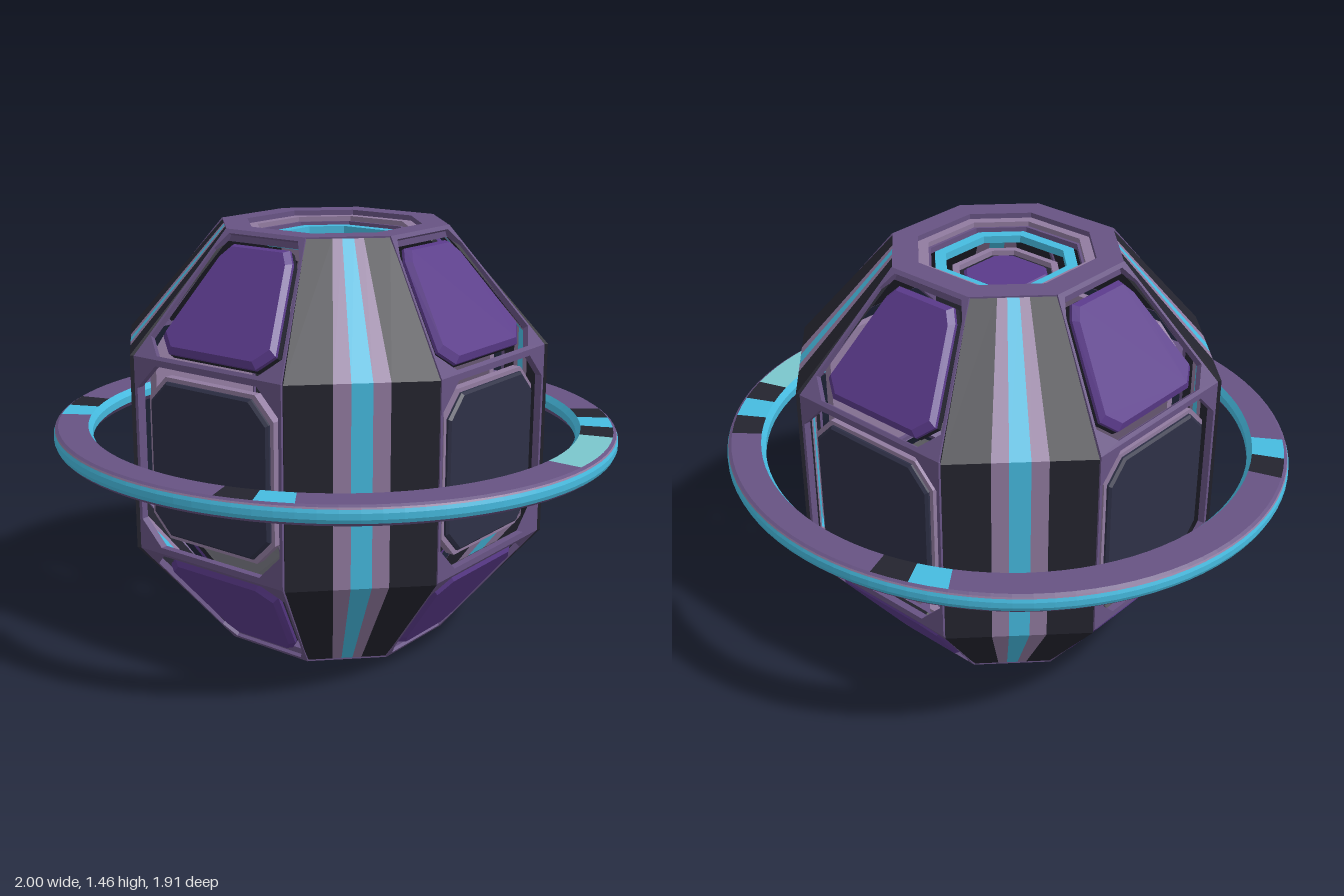
import * as THREE from 'three';

const mat = (name, color) => Object.assign(new THREE.MeshStandardMaterial({ color }), { name });

export function createModel() {
  const M = {
    purple: mat('frame purple', 0x675383),
    mauve: mat('mauve trim', 0x917ba0),
    dark: mat('charcoal', 0x24242f),
    navy: mat('navy panel', 0x2e3046),
    violet: mat('violet panel', 0x5a3a8a),
    cyan: mat('cyan', 0x46bbe0),
    pale: mat('pale teal', 0x7ac6cc),
  };
  const model = new THREE.Group();
  model.name = 'ringedCapsule';
  const body = new THREE.Group();
  body.name = 'body';
  body.position.y = 0.7275;
  model.add(body);

  const add = (parent, name, geo, material) => {
    const mesh = new THREE.Mesh(geo, material);
    mesh.name = name;
    parent.add(mesh);
    return mesh;
  };
  const fromPoints = (pts) => {
    const g = new THREE.BufferGeometry();
    g.setAttribute('position', new THREE.Float32BufferAttribute(pts.flat(), 3));
    g.computeVertexNormals();
    return g;
  };
  const quad = (out, a, b, c, d) => out.push(a, b, c, a, c, d);

  // Closed solid through loops of equal length, counter-clockwise about the loft direction
  const loft = (loops) => {
    const out = [], n = loops[0].length, last = loops[loops.length - 1];
    for (let s = 0; s < loops.length - 1; s++) {
      for (let i = 0; i < n; i++) {
        const j = (i + 1) % n;
        quad(out, loops[s][i], loops[s][j], loops[s + 1][j], loops[s + 1][i]);
      }
    }
    for (let i = 1; i < n - 1; i++) {
      out.push(loops[0][0], loops[0][i + 1], loops[0][i]);
      out.push(last[0], last[i], last[i + 1]);
    }
    return fromPoints(out);
  };

  // Right half of an outline, bottom to top, mirrored into a full loop
  const mirror = (half) => [...half, ...half.slice().reverse().map(([x, y]) => [-x, y])];
  const chamferRect = (w, h, c) => mirror([[w - c, -h], [w, c - h], [w, h - c], [w - c, h]]);
  const oct = (r, k) => chamferRect(r, r, r * (1 - k));
  const inset = (loop, d) => {
    const ys = loop.map((p) => p[1]);
    const cy = (Math.min(...ys) + Math.max(...ys)) / 2, hy = Math.max(...ys) - cy;
    const hx = Math.max(...loop.map((p) => p[0]));
    return loop.map(([x, y]) => [x * (1 - d / hx), cy + (y - cy) * (1 - d / hy)]);
  };
  const atZ = (loop, z) => loop.map(([x, y]) => [x, y, z]);
  // Plate whose front lies at z = front, with an optional opening
  const plate = (outer, hole, depth, front = 0) => {
    const v = (l) => l.map(([x, y]) => new THREE.Vector2(x, y));
    const shape = new THREE.Shape(v(outer));
    if (hole) shape.holes.push(new THREE.Path(v(hole)));
    return new THREE.ExtrudeGeometry(shape, { depth, bevelEnabled: false }).translate(0, 0, front - depth);
  };
  const bevelPanel = (loop, back, front, bevel) =>
    loft([atZ(loop, back), atZ(loop, front - bevel), atZ(inset(loop, bevel), front)]);

  // Corner columns with tapering stripes
  const levels = [[-0.724, 0.37, 0.135], [-0.333, 0.7, 0.24], [0.333, 0.7, 0.24], [0.724, 0.37, 0.135]];
  const stripes = [[-1, -0.37, 'dark'], [-0.37, -0.14, 'mauve'], [-0.14, 0.14, 'cyan'],
    [0.14, 0.37, 'mauve'], [0.37, 1, 'dark']];
  for (let k = 0; k < 4; k++) {
    const column = new THREE.Group();
    column.name = 'cornerColumn';
    column.rotation.y = Math.PI / 4 + k * Math.PI / 2;
    body.add(column);
    for (const [f0, f1, colour] of stripes) {
      add(column, 'columnStripe', loft(levels.map(([y, u, w]) => [
        [f0 * w, y, u - 0.03], [f0 * w, y, u], [f1 * w, y, u], [f1 * w, y, u - 0.03]])), M[colour]);
    }
  }

  // Middle windows: frame with a floating panel
  const midPanel = chamferRect(0.265, 0.277, 0.075);
  for (let k = 0; k < 4; k++) {
    const side = new THREE.Group();
    side.name = 'middleWindow';
    side.rotation.y = k * Math.PI / 2;
    body.add(side);
    const face = new THREE.Group();
    face.position.z = 0.66;
    side.add(face);
    add(face, 'windowFrame', plate(chamferRect(0.312, 0.333, 0.001), chamferRect(0.3, 0.312, 0.085), 0.025), M.purple);
    add(face, 'panelTrim', plate(midPanel, null, 0.03, -0.02), M.mauve);
    add(face, 'windowPanel', bevelPanel(inset(midPanel, 0.014), -0.02, -0.005, 0.008), M.navy);
  }

  // Upper and lower halves: sloped windows and recessed port
  const slope = Math.atan2(0.3, 0.3945), len = Math.hypot(0.3, 0.3945);
  const slopeFrame = mirror([[0.312, 0], [0.168, len]]);
  const slopeHole = mirror([[0.215, 0.014], [0.278, 0.08], [0.18, 0.42], [0.145, 0.48]]);
  const slopePanel = mirror([[0.185, 0.036], [0.238, 0.09], [0.15, 0.405], [0.118, 0.45]]);
  for (const turn of [0, Math.PI]) {
    const half = new THREE.Group();
    half.name = turn ? 'lowerHalf' : 'upperHalf';
    half.rotation.z = turn;
    body.add(half);
    for (let k = 0; k < 4; k++) {
      const side = new THREE.Group();
      side.name = 'slopedWindow';
      side.rotation.y = k * Math.PI / 2;
      half.add(side);
      const face = new THREE.Group();
      face.position.set(0, 0.333, 0.66);
      face.rotation.x = -slope;
      side.add(face);
      add(face, 'slopedFrame', plate(slopeFrame, slopeHole, 0.022), M.purple);
      add(face, 'panelBacking', plate(slopePanel, null, 0.02, -0.025), M.dark);
      add(face, 'slopedPanel', bevelPanel(slopePanel, -0.025, 0.004, 0.018), M.violet);
    }
    const port = new THREE.Group();
    port.name = 'port';
    port.position.y = 0.7275;
    port.rotation.x = -Math.PI / 2;
    half.add(port);
    add(port, 'portRim', plate(oct(0.36, 0.46), oct(0.278, 0.46), 0.04), M.purple);
    add(port, 'portStep', plate(oct(0.28, 0.46), oct(0.245, 0.46), 0.035, -0.018), M.mauve);
    add(port, 'portLip', plate(oct(0.25, 0.46), oct(0.234, 0.48), 0.02, -0.035), M.purple);
    add(port, 'portRing', plate(oct(0.219, 0.5), oct(0.182, 0.52), 0.025, -0.045), M.cyan);
    add(port, 'plugTrim', plate(oct(0.157, 0.58), oct(0.135, 0.6), 0.04, -0.08), M.mauve);
    add(port, 'plugInset', plate(oct(0.137, 0.6), null, 0.02, -0.098), M.dark);
    add(port, 'plugPanel', bevelPanel(oct(0.12, 0.62), -0.1, -0.088, 0.008), M.violet);
  }

  // Oval ring: profile corners (across, up) with the colour of the face that follows
  const profile = [[0.78, -1, 'purple'], [0.92, -0.7, 'cyan'], [1, -0.3, 'cyan'], [1, 0.3, 'cyan'],
    [0.94, 0.65, 'mauve'], [0.9, 0.82, 'purple'], [0.76, 1, 'top'], [-0.78, 1, 'cyan'],
    [-1, 0.4, 'cyan'], [-1, -0.4, 'purple'], [-0.78, -1, 'purple']];
  const patches = { 0: 'pale', 1: 'pale', 2: 'pale', 3: 'dark', 4: 'cyan', 5: 'dark', 14: 'dark',
    15: 'cyan', 27: 'dark', 28: 'cyan', 38: 'dark', 39: 'cyan' };
  const ringPoint = ([d, h], i) => {
    const t = i * Math.PI / 48;
    return [(0.925 + d * 0.075) * Math.cos(t), 0.733 + h * 0.033, -(0.895 + d * 0.06) * Math.sin(t)];
  };
  const faces = {};
  for (let i = 0; i < 96; i++) {
    profile.forEach((p, j) => {
      const q = profile[(j + 1) % profile.length];
      const colour = p[2] === 'top' ? patches[Math.floor(i / 2)] || 'purple' : p[2];
      quad(faces[colour] ||= [], ringPoint(p, i), ringPoint(p, i + 1), ringPoint(q, i + 1), ringPoint(q, i));
    });
  }
  const ring = new THREE.Group();
  ring.name = 'ring';
  model.add(ring);
  for (const colour in faces) add(ring, 'ringFaces', fromPoints(faces[colour]), M[colour]);

  return model;
}
